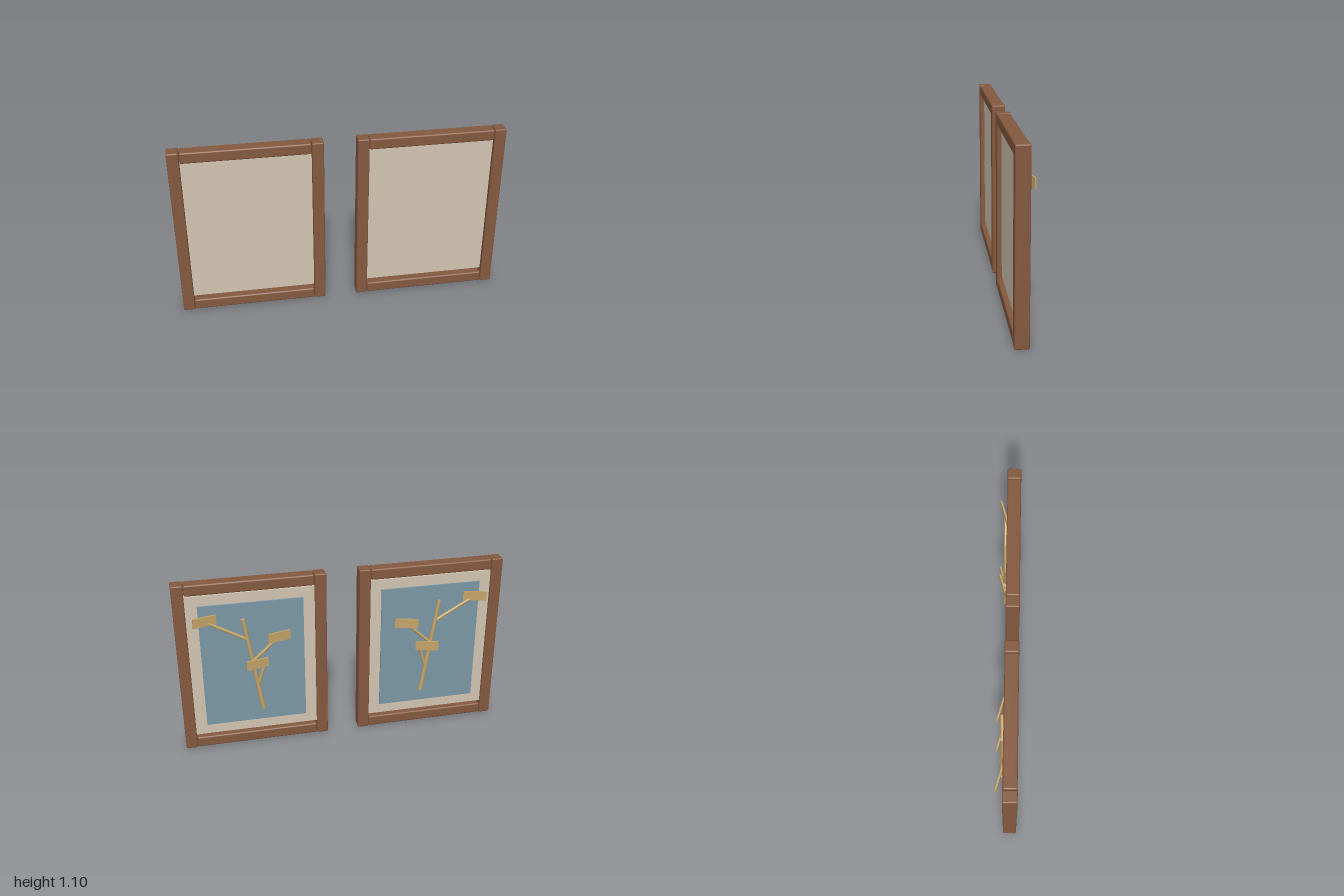
import * as THREE from 'three';
import { RoundedBoxGeometry } from 'three/addons/geometries/RoundedBoxGeometry.js';

const mat = (color) => new THREE.MeshStandardMaterial({ color });
const frameWood = mat(0x84593f);
const board = mat(0xd2c5b2);
const blue = mat(0x7a98a6);
const twig = mat(0xc4a469);

function add(parent, name, geometry, material, x, y, z) {
  const mesh = new THREE.Mesh(geometry, material);
  mesh.name = name;
  mesh.position.set(x, y, z);
  parent.add(mesh);
  return mesh;
}

// Round stick between two points, tapering from r0 to r1
function stick(parent, name, a, b, r0, r1) {
  const from = new THREE.Vector3(...a), to = new THREE.Vector3(...b);
  const dir = to.clone().sub(from);
  const mid = from.clone().add(to).multiplyScalar(0.5);
  const mesh = add(parent, name, new THREE.CylinderGeometry(r1, r0, dir.length(), 16), twig, mid.x, mid.y, mid.z);
  mesh.quaternion.setFromUnitVectors(new THREE.Vector3(0, 1, 0), dir.normalize());
}

// One framed picture; s = 1 for the left one, -1 for its mirror image
function framedPicture(s) {
  const g = new THREE.Group();
  g.name = s > 0 ? 'leftPicture' : 'rightPicture';
  const cx = 0.55 * s, cz = 0.0225;

  // Frame: two full-height posts with rails between them
  for (const x of [0.135, 0.965]) {
    add(g, 'framePost', new RoundedBoxGeometry(0.07, 1.095, 0.082, 3, 0.008), frameWood, x * s, 0.5475, cz);
  }
  for (const y of [0.036, 1.06]) {
    add(g, 'frameRail', new RoundedBoxGeometry(0.757, 0.068, 0.08, 3, 0.01), frameWood, cx, y, cz);
  }

  // Backing board and the blue picture panel on its back
  add(g, 'backingBoard', new THREE.BoxGeometry(0.76, 0.93, 0.04), board, cx, 0.553, 0.015);
  add(g, 'bluePanel', new THREE.BoxGeometry(0.62, 0.8, 0.012), blue, cx, 0.555, -0.009);

  // Stem and its three branches
  stick(g, 'stem', [0.507 * s, 0.238, -0.024], [0.602 * s, 0.858, -0.024], 0.014, 0.011);
  stick(g, 'branch', [0.586 * s, 0.725, -0.025], [0.81 * s, 0.855, -0.028], 0.01, 0.009);
  stick(g, 'branch', [0.556 * s, 0.575, -0.026], [0.415 * s, 0.705, -0.03], 0.01, 0.009);
  stick(g, 'branch', [0.532 * s, 0.405, -0.026], [0.49 * s, 0.54, -0.032], 0.01, 0.009);

  // Tilted leaf plates at the branch tips
  for (const [x, y, z] of [[0.825, 0.87, -0.037], [0.395, 0.728, -0.038], [0.532, 0.56, -0.041]]) {
    const leaf = add(g, 'leafPlate', new THREE.BoxGeometry(0.142, 0.06, 0.01), twig, x * s, y, z);
    leaf.rotation.y = 0.27 * s;
  }
  return g;
}

export function createModel() {
  const model = new THREE.Group();
  model.name = 'framedPicturePair';
  for (const s of [1, -1]) model.add(framedPicture(s));
  return model;
}
